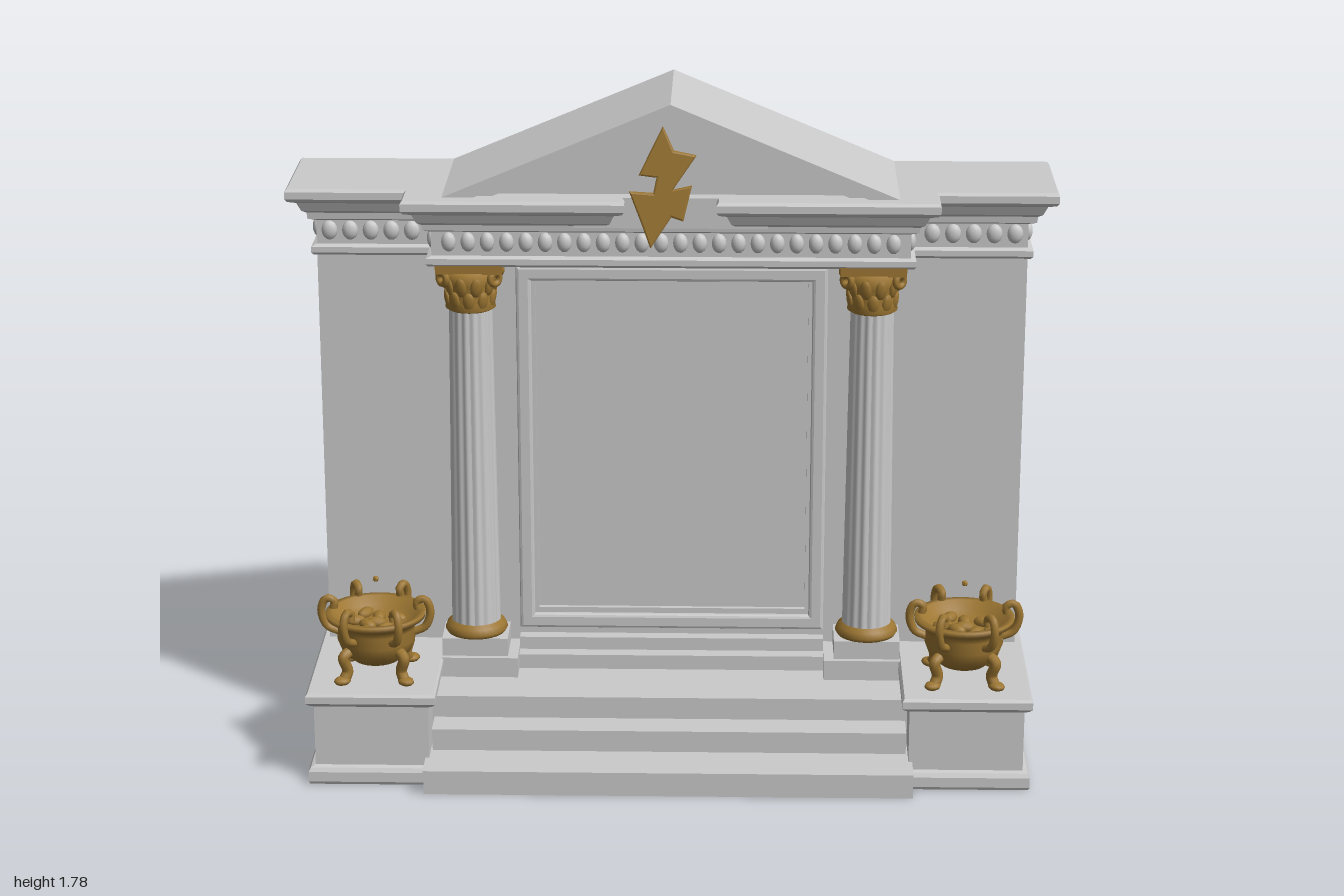
import * as THREE from 'three';

const stone = new THREE.MeshStandardMaterial({ color: 0xcacaca, side: THREE.DoubleSide });
stone.name = 'pale stone';
const gold = new THREE.MeshStandardMaterial({ color: 0x9c7632, side: THREE.DoubleSide });
gold.name = 'old gold';

const BACK = -0.37, WALL = -0.105;

function add(parent, name, geo, mat, x = 0, y = 0, z = 0) {
  const m = new THREE.Mesh(geo, mat);
  m.name = name;
  m.position.set(x, y, z);
  parent.add(m);
  return m;
}

// box given by its limits
function block(parent, name, x0, x1, y0, y1, z0, z1, mat = stone) {
  return add(parent, name, new THREE.BoxGeometry(x1 - x0, y1 - y0, z1 - z0), mat,
    (x0 + x1) / 2, (y0 + y1) / 2, (z0 + z1) / 2);
}

// mitred moulding: rectangle rings that grow by [out, y] to both sides and the front
function moulding(parent, name, x0, x1, z0, z1, profile) {
  const rings = profile.map(([o, y]) => [
    [x0 - o, y, z0], [x0 - o, y, z1 + o], [x1 + o, y, z1 + o], [x1 + o, y, z0]]);
  const pos = [];
  const quad = (a, b, c, d) => pos.push(...a, ...b, ...c, ...a, ...c, ...d);
  for (let i = 0; i + 1 < rings.length; i++) {
    for (let k = 0; k < 4; k++) {
      const n = (k + 1) % 4;
      quad(rings[i][k], rings[i][n], rings[i + 1][n], rings[i + 1][k]);
    }
  }
  const top = rings[rings.length - 1], bot = rings[0];
  quad(top[0], top[1], top[2], top[3]);
  quad(bot[3], bot[2], bot[1], bot[0]);
  const g = new THREE.BufferGeometry();
  g.setAttribute('position', new THREE.Float32BufferAttribute(pos, 3));
  g.computeVertexNormals();
  return add(parent, name, g, stone);
}

const shapeOf = pts => new THREE.Shape(pts.map(p => new THREE.Vector2(p[0], p[1])));
const rect = (w, y0, y1) => [[-w, y0], [w, y0], [w, y1], [-w, y1]];

function slab(parent, name, pts, hole, z0, z1, mat = stone, bevel = 0) {
  const s = shapeOf(pts);
  if (hole) s.holes.push(shapeOf(hole));
  const g = new THREE.ExtrudeGeometry(s, {
    depth: z1 - z0, bevelEnabled: bevel > 0, bevelSize: bevel, bevelThickness: bevel, bevelSegments: 2 });
  return add(parent, name, g, mat, 0, 0, z0);
}

function lathe(parent, name, pts, mat, seg = 32) {
  return add(parent, name, new THREE.LatheGeometry(pts.map(p => new THREE.Vector2(p[0], p[1])), seg), mat);
}

function tube(parent, name, pts, r, mat) {
  const c = new THREE.CatmullRomCurve3(pts.map(p => new THREE.Vector3(...p)));
  return add(parent, name, new THREE.TubeGeometry(c, 16, r, 8), mat);
}

function makeColumn(x) {
  const g = new THREE.Group();
  g.name = 'column';
  g.position.set(x, 0, -0.05);
  block(g, 'plinth', -0.115, 0.115, 0.19, 0.255, -0.07, 0.085);
  block(g, 'upperPlinth', -0.088, 0.088, 0.255, 0.305, -0.07, 0.07);
  lathe(g, 'columnBase', [[0, 0.305], [0.078, 0.305], [0.084, 0.315], [0.078, 0.33], [0.066, 0.34]], gold);
  // fluted, tapering shaft
  const shaft = new THREE.CylinderGeometry(0.057, 0.066, 0.9, 96, 8, true);
  const p = shaft.attributes.position;
  for (let i = 0; i < p.count; i++) {
    const a = Math.atan2(p.getZ(i), p.getX(i));
    const k = 1 - 0.06 * Math.pow(Math.abs(Math.cos(a * 8)), 2);
    p.setX(i, p.getX(i) * k);
    p.setZ(i, p.getZ(i) * k);
  }
  shaft.computeVertexNormals();
  add(g, 'shaft', shaft, stone, 0, 0.78, 0);
  // leafy capital
  lathe(g, 'capitalBell', [[0.058, 1.21], [0.066, 1.215], [0.063, 1.235], [0.062, 1.28], [0.076, 1.32], [0, 1.32]], gold);
  for (let row = 0; row < 2; row++) {
    for (let i = 0; i < 10; i++) {
      const a = (i + row / 2) / 10 * Math.PI * 2;
      const r = 0.061 + row * 0.004;
      const leaf = add(g, 'leaf', new THREE.SphereGeometry(1, 8, 6), gold,
        Math.sin(a) * r, 1.24 + row * 0.04, Math.cos(a) * r);
      leaf.scale.set(0.016, 0.028, 0.009);
      leaf.rotation.set(0.2, a, 0, 'YXZ');
    }
  }
  for (const sx of [-1, 1]) for (const sz of [-1, 1]) {
    const v = add(g, 'volute', new THREE.TorusGeometry(0.015, 0.009, 8, 14), gold, sx * 0.068, 1.303, sz * 0.05);
    v.rotation.y = sx * sz * Math.PI / 4;
  }
  block(g, 'abacus', -0.086, 0.086, 1.318, 1.342, -0.06, 0.066, gold);
  return g;
}

function makeBrazier(x) {
  const g = new THREE.Group();
  g.name = 'brazier';
  g.position.set(x, 0.255, 0.145);
  lathe(g, 'bowl', [[0, 0.04], [0.06, 0.045], [0.09, 0.07], [0.103, 0.105], [0.101, 0.135], [0.108, 0.152],
    [0.13, 0.165], [0.132, 0.178], [0.114, 0.178], [0.1, 0.155], [0.07, 0.14], [0, 0.135]], gold, 40);
  for (let i = 0; i < 4; i++) {
    const leg = new THREE.Group();
    leg.name = 'leg';
    leg.rotation.y = Math.PI / 4 + i * Math.PI / 2;
    tube(leg, 'legCurve', [[0.085, 0.09, 0], [0.112, 0.075, 0], [0.1, 0.035, 0], [0.112, 0.012, 0]], 0.015, gold);
    const foot = add(leg, 'foot', new THREE.SphereGeometry(0.02, 10, 8), gold, 0.118, 0.012, 0);
    foot.scale.set(1.2, 0.6, 1);
    g.add(leg);
  }
  // curled handles round the rim
  for (let i = 0; i < 6; i++) {
    const h = new THREE.Group();
    h.name = 'handle';
    h.rotation.y = i * Math.PI / 3;
    tube(h, 'scroll', [[0.1, 0.12, 0], [0.13, 0.135, 0], [0.144, 0.18, 0], [0.13, 0.212, 0],
      [0.109, 0.205, 0], [0.112, 0.185, 0]], 0.011, gold);
    g.add(h);
  }
  // coals and a spark
  for (let i = 0; i < 9; i++) {
    const a = i * 2.4, r = 0.028 * Math.sqrt(i);
    const c = add(g, 'coal', new THREE.IcosahedronGeometry(0.022, 1), gold, Math.cos(a) * r, 0.145, Math.sin(a) * r);
    c.scale.set(1.3, 0.7, 0.8);
    c.rotation.y = a;
  }
  add(g, 'spark', new THREE.IcosahedronGeometry(0.009, 0), gold, 0, 0.26, -0.02);
  return g;
}

export function createModel() {
  const root = new THREE.Group();
  root.name = 'templeFacade';

  // stepped platform
  block(root, 'floor', -0.64, 0.64, 0, 0.2, BACK, 0.16);
  for (const [w, y, z] of [[0.625, 0.137, 0.245], [0.64, 0.072, 0.368]]) {
    block(root, 'step', -w, w, 0, y - 0.02, 0, z - 0.015);
    block(root, 'stepNosing', -w, w, y - 0.022, y, 0, z);
  }
  block(root, 'floorNosing', -0.62, 0.62, 0.18, 0.2, 0, 0.168);
  block(root, 'sill', -0.42, 0.42, 0.2, 0.24, WALL, -0.03);
  block(root, 'upperSill', -0.41, 0.41, 0.24, 0.275, WALL, -0.07);

  // wall with recessed panel
  slab(root, 'wall', rect(0.93, 0.19, 1.35), rect(0.375, 0.325, 1.275), -0.135, WALL);
  block(root, 'wallCore', -0.93, 0.93, 0.19, 1.35, BACK, -0.135);
  slab(root, 'panelFrame', rect(0.402, 0.3, 1.302), rect(0.378, 0.324, 1.278), WALL - 0.005, WALL + 0.004, stone, 0.008);
  slab(root, 'innerFrame', rect(0.376, 0.326, 1.274), rect(0.36, 0.342, 1.258), -0.136, -0.122);

  // entablature
  const frieze = [[0.008, 1.338], [0.014, 1.345], [0.014, 1.36], [0, 1.366], [0, 1.43], [0.02, 1.438], [0.022, 1.455]];
  const cornice = [[0.022, 1.455], [0.034, 1.463], [0.045, 1.487], [0.066, 1.495], [0.072, 1.503], [0.072, 1.522], [0.066, 1.53]];
  moulding(root, 'wingEntablature', -0.93, 0.93, BACK, WALL, [...frieze, ...cornice.slice(1)]);
  moulding(root, 'centreFrieze', -0.62, 0.62, -0.2, 0.005, frieze);
  block(root, 'corniceCentre', -0.25, 0.25, 1.45, 1.53, -0.2, 0.035);

  // rounded ornaments along the friezes
  const egg = new THREE.SphereGeometry(1, 10, 8);
  const ornament = (x, z, sx, sz) => add(root, 'friezeOrnament', egg, stone, x, 1.403, z).scale.set(sx, 0.026, sz);
  for (let i = 0; i < 24; i++) ornament((i - 11.5) * 0.05, 0.005, 0.019, 0.015);

  for (const s of [-1, 1]) {
    const lo = Math.min(s * 0.19, s * 0.62), hi = Math.max(s * 0.19, s * 0.62);
    moulding(root, 'centreCornice', lo, hi, -0.2, 0.01, cornice);
    for (let i = 0; i < 5; i++) {
      ornament(s * (0.68 + i * 0.054), WALL, 0.021, 0.014);
      ornament(s * 0.93, -0.14 - i * 0.05, 0.014, 0.02);
    }
    for (let i = 0; i < 2; i++) ornament(s * 0.62, -0.03 - i * 0.045, 0.014, 0.018);

    // side pedestals
    moulding(root, 'pedestal', s > 0 ? 0.63 : -0.93, s > 0 ? 0.93 : -0.63, BACK, 0.28, [
      [0.014, 0], [0.018, 0.008], [0.018, 0.035], [0.012, 0.046], [0, 0.05], [0, 0.215],
      [0.012, 0.222], [0.02, 0.23], [0.02, 0.249], [0.014, 0.257]]);
    root.add(makeColumn(s * 0.525), makeBrazier(s * 0.775));
  }

  // pediment
  const chevron = (w0, t0, w1, t1) => [[-w0, 1.525], [0, t0], [w0, 1.525], [w1, 1.525], [0, t1], [-w1, 1.525]];
  slab(root, 'pedimentBody', [[-0.6, 1.525], [0.6, 1.525], [0, 1.776]], null, BACK, -0.005);
  slab(root, 'rakingCornice', chevron(0.6, 1.776, 0.52, 1.742), null, -0.01, 0.04);
  slab(root, 'innerRaking', chevron(0.522, 1.743, 0.47, 1.72), null, -0.01, 0.02);

  // lightning bolt emblem, leaning back slightly
  const bolt = slab(root, 'lightningBolt', [[-0.02, 0.3], [0.005, 0.24], [0.06, 0.23], [0, 0.14], [0.05, 0.15],
    [0.03, 0.07], [0, 0.08], [-0.05, 0], [-0.07, 0.06], [-0.1, 0.135], [-0.04, 0.13], [-0.03, 0.18], [-0.075, 0.185]],
  null, 0, 0.014, gold, 0.005);
  bolt.position.set(0, 1.41, 0.052);
  bolt.rotation.x = -0.13;

  return root;
}
